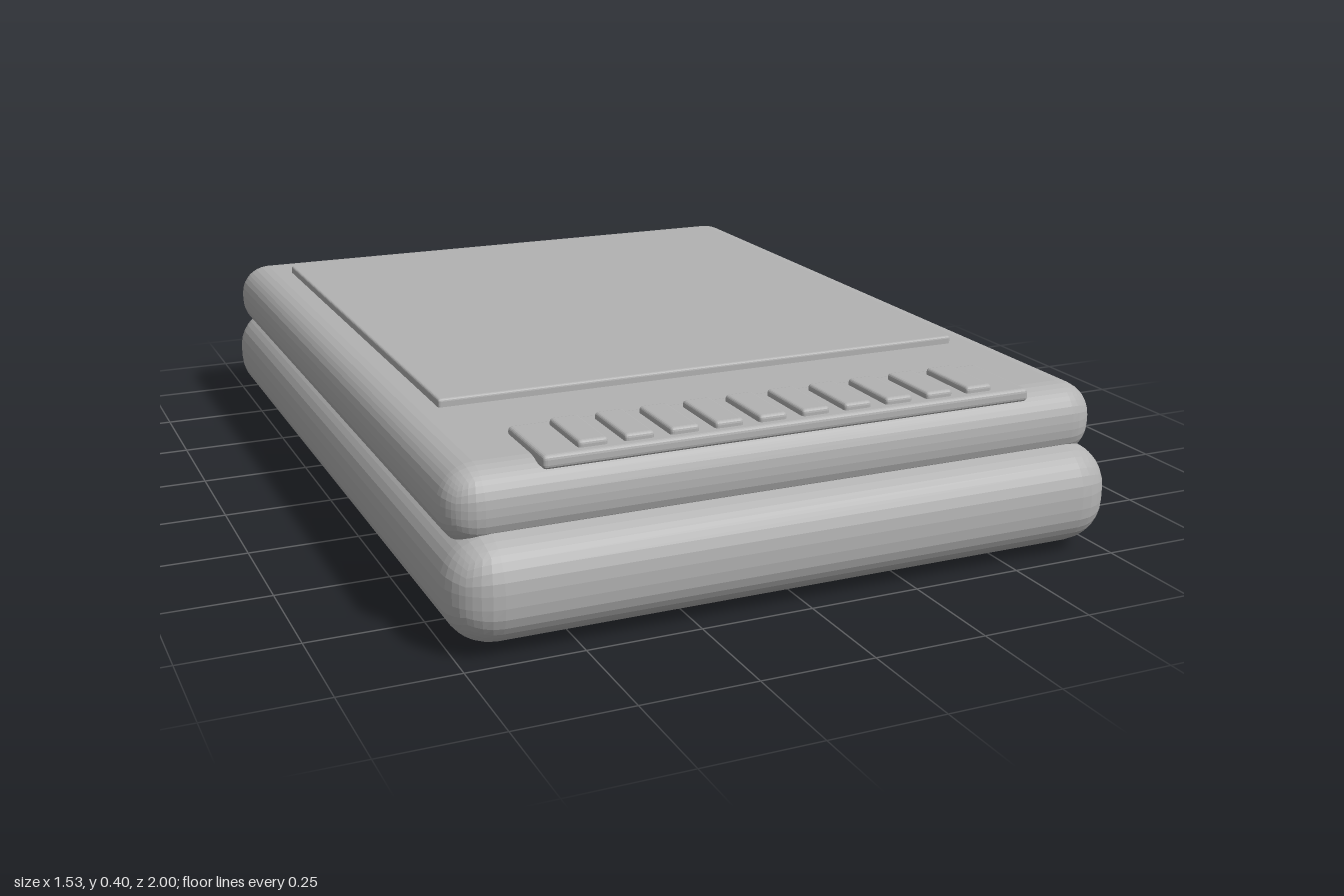
import * as THREE from 'three';
import { RoundedBoxGeometry } from 'three/addons/geometries/RoundedBoxGeometry.js';

export function createModel() {
  const model = new THREE.Group();
  model.name = 'handheldDevice';
  const grey = new THREE.MeshStandardMaterial({ color: 0xb2b2b2, flatShading: true });
  grey.name = 'plainGrey';

  // Rounded slab given by its extents on each axis
  function slab(name, [x0, x1], [y0, y1], [z0, z1], radius, segments, parent = model) {
    const geometry = new RoundedBoxGeometry(x1 - x0, y1 - y0, z1 - z0, segments, radius);
    const mesh = new THREE.Mesh(geometry, grey);
    mesh.position.set((x0 + x1) / 2, (y0 + y1) / 2, (z0 + z1) / 2);
    mesh.name = name;
    parent.add(mesh);
    return mesh;
  }

  // Two stacked shells, the upper one set back from the front
  slab('lowerShell', [-0.763, 0.763], [0.015, 0.243], [-1, 1], 0.1, 4);
  slab('upperShell', [-0.75, 0.75], [0.2, 0.367], [-0.98, 0.93], 0.075, 4);

  // Thin display plate on top
  slab('screen', [-0.633, 0.63], [0.355, 0.385], [-0.81, 0.51], 0.006, 2);

  // Key strip with a row of ten keys
  slab('keyPanel', [-0.556, 0.556], [0.353, 0.382], [0.72, 0.925], 0.009, 2);
  const keys = new THREE.Group();
  keys.name = 'keys';
  model.add(keys);
  for (let i = 0; i < 10; i++) {
    const x = (i - 4.5) * 0.0985;
    slab('key' + (i + 1), [x - 0.032, x + 0.032], [0.37, 0.396], [0.743, 0.904], 0.008, 2, keys);
  }

  // Underside cover and two long feet
  slab('bottomCover', [-0.48, 0.48], [0.01, 0.03], [-0.6, 0.6], 0.004, 1);
  for (const [side, name] of [[1, 'leftFoot'], [-1, 'rightFoot']]) {
    const x = side * 0.615;
    slab(name, [x - 0.038, x + 0.038], [0, 0.045], [-0.755, 0.755], 0.021, 3);
  }

  return model;
}
